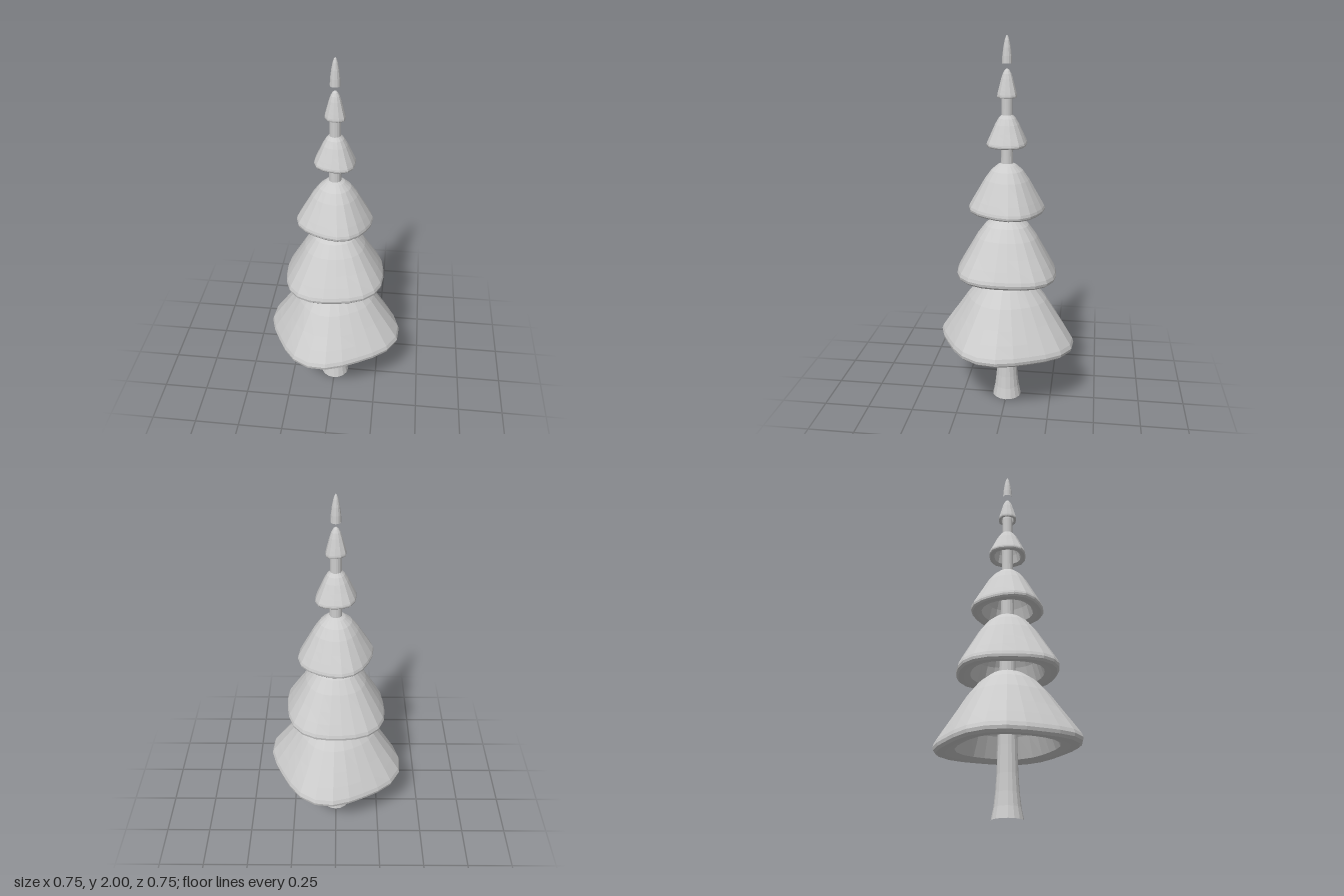
import * as THREE from 'three';

const DEG = Math.PI / 180;

// Shared canopy section: inside from the apex down, around the thick lip, outside back up.
// Values are fractions of the tier's radius and height.
const CANOPY = [
  [0, 0.8], [0.25, 0.74], [0.45, 0.54], [0.6, 0.3], [0.71, 0.03],
  [0.84, 0.0], [0.95, 0.0], [0.99, 0.03], [1.0, 0.07], [0.98, 0.12],
  [0.88, 0.26], [0.76, 0.42], [0.59, 0.65], [0.42, 0.83], [0.25, 0.94], [0.12, 0.985], [0, 1],
].map(([r, h]) => new THREE.Vector2(r, h));

// radius, wobble: rounded four-cornered outline; corner, start: degrees from +x towards +z
const TIERS = [
  { radius: 0.364, wobble: 0.055, corner: 17, start: 2.3, sides: 24, low: 0.342, top: 0.76, tilt: 0.018, up: 45 },
  { radius: 0.28, wobble: 0.043, corner: 40, start: 7.5, sides: 24, low: 0.737, top: 1.085, tilt: 0.014, up: 35 },
  { radius: 0.197, wobble: 0.036, corner: 69, start: -9, sides: 20, low: 1.1, top: 1.365, tilt: 0.01, up: 135 },
  { radius: 0.107, wobble: 0.045, corner: 50, start: 5, sides: 16, low: 1.45, top: 1.62, tilt: 0.006, up: 180 },
  { radius: 0.053, wobble: 0.055, corner: 40, start: 4, sides: 12, low: 1.697, top: 1.838, tilt: 0.004, up: 180 },
];

// Flat facets without touching the material
function faceted(geometry) {
  const flat = geometry.toNonIndexed();
  flat.computeVertexNormals();
  return flat;
}

function tierGeometry(t) {
  const profile = CANOPY.map((p) => new THREE.Vector2(p.x * t.radius, t.low + p.y * (t.top - t.low)));
  const geometry = new THREE.LatheGeometry(profile, t.sides, -t.start * DEG + Math.PI / 2);
  const pos = geometry.attributes.position;
  for (let i = 0; i < pos.count; i++) {
    const x = pos.getX(i), z = pos.getZ(i);
    const angle = Math.atan2(z, x);
    const reach = Math.hypot(x, z) / t.radius; // 0 at the axis, 1 at the rim
    const swell = 1 + t.wobble * reach * Math.cos(4 * (angle - t.corner * DEG));
    const lift = t.tilt * reach * reach * Math.cos(angle - t.up * DEG);
    pos.setXYZ(i, x * swell, pos.getY(i) + lift, z * swell);
  }
  return faceted(geometry);
}

function lathe(points, sides) {
  return faceted(new THREE.LatheGeometry(points.map(([r, y]) => new THREE.Vector2(r, y)), sides));
}

export function createModel() {
  const tree = new THREE.Group();
  tree.name = 'coniferTree';
  const grey = new THREE.MeshStandardMaterial({ color: 0xcccccc });
  grey.name = 'paleGrey';

  const add = (name, geometry) => {
    const mesh = new THREE.Mesh(geometry, grey);
    mesh.name = name;
    tree.add(mesh);
  };

  // Flared trunk, open at the foot
  add('trunk', lathe([
    [0.08, 0], [0.068, 0.06], [0.06, 0.13], [0.054, 0.22], [0.05, 0.36],
    [0.044, 0.74], [0.037, 1.08], [0.031, 1.4], [0.028, 1.7], [0.02, 1.77],
  ], 16));

  // Stacked bell-shaped branches
  TIERS.forEach((t, i) => add(`branchTier${i + 1}`, tierGeometry(t)));

  // Separate pointed tip above the highest tier
  add('treeTip', lathe([
    [0.026, 1.863], [0.024, 1.9], [0.019, 1.94], [0.012, 1.975], [0.006, 1.993], [0, 2],
  ], 12));

  return tree;
}
